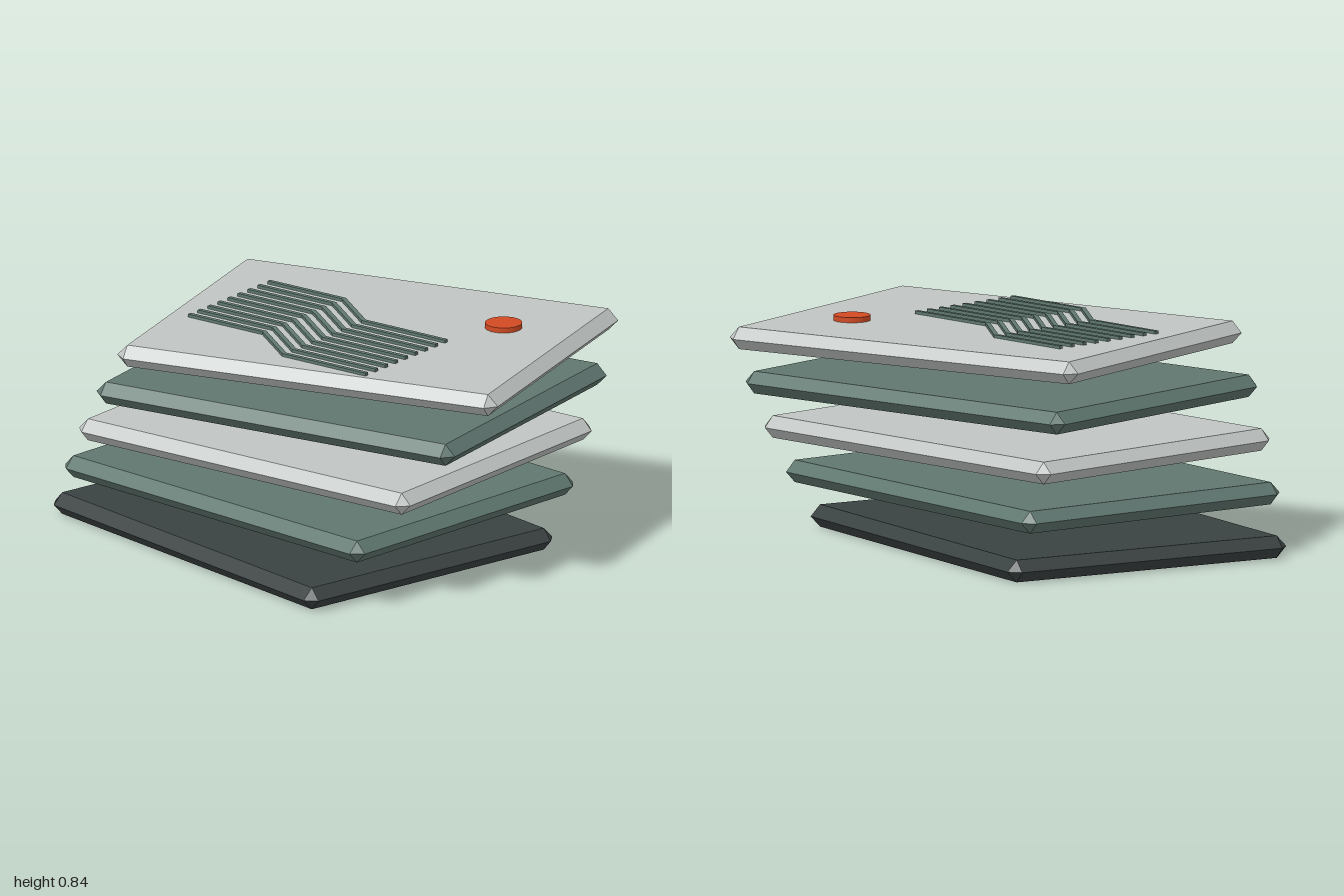
import * as THREE from 'three';
import { ConvexGeometry } from 'three/addons/geometries/ConvexGeometry.js';

const material = (name, color, flatShading = false) => {
  const m = new THREE.MeshStandardMaterial({ color, flatShading });
  m.name = name;
  return m;
};

// Slab whose edges are chamfered by half its thickness, leaving a sharp rim and cut corners
function slabGeometry(hx, hy, hz, bevel) {
  const points = [];
  for (const sx of [-1, 1]) for (const sz of [-1, 1]) {
    for (const y of [-hy, hy]) points.push(new THREE.Vector3(sx * (hx - bevel), y, sz * (hz - bevel)));
    points.push(new THREE.Vector3(sx * hx, 0, sz * (hz - bevel)));
    points.push(new THREE.Vector3(sx * (hx - bevel), 0, sz * hz));
  }
  return new ConvexGeometry(points);
}

// Thin stepped strip, drawn in plan and extruded upwards
function traceGeometry(path, halfWidth, height) {
  const slope = Math.atan2(path[2][1] - path[1][1], path[2][0] - path[1][0]);
  const miter = halfWidth * Math.tan(slope / 2);
  const side = (s) => path.map(([x, z], i) =>
    new THREE.Vector2(x - (i === 1 || i === 2 ? s * miter : 0), -(z + s * halfWidth)));
  const shape = new THREE.Shape([...side(1), ...side(-1).reverse()]);
  return new THREE.ExtrudeGeometry(shape, { depth: height, bevelEnabled: false }).rotateX(-Math.PI / 2);
}

export function createModel() {
  const model = new THREE.Group();
  model.name = 'layeredSlabs';
  const grey = material('paleGrey', 0xc0c5c3, true);
  const teal = material('greyTeal', 0x5f766f, true);
  const dark = material('charcoal', 0x3a4141, true);
  const orange = material('orange', 0xd14a22);

  // Five floating slabs, each turned and shifted a step further
  const slab = slabGeometry(0.782, 0.0425, 0.606, 0.041);
  [dark, teal, grey, teal, grey].forEach((mat, i) => {
    const step = i - 2;
    const mesh = new THREE.Mesh(slab, mat);
    mesh.name = `slab${i + 1}`;
    mesh.position.set(step * 0.053, 0.0435 + i * 0.1843, step * -0.031);
    mesh.rotation.y = THREE.MathUtils.degToRad(step * 6.75);
    model.add(mesh);
  });
  const top = 0.823;

  // Nine parallel stepped traces on the top slab
  const traces = new THREE.Group();
  traces.name = 'traces';
  const trace = traceGeometry([[-0.505, 0], [-0.15, 0], [0.067, 0.163], [0.457, 0.163]], 0.009, 0.012);
  for (let i = 0; i < 9; i++) {
    const mesh = new THREE.Mesh(trace, teal);
    mesh.name = `trace${i + 1}`;
    mesh.position.set(0, top, -0.251 + i * 0.062);
    traces.add(mesh);
  }
  model.add(traces);

  // Round marker on the top slab
  const button = new THREE.Mesh(new THREE.CylinderGeometry(0.07, 0.07, 0.02, 32), orange);
  button.name = 'roundMarker';
  button.position.set(0.518, top + 0.01, -0.365);
  model.add(button);

  return model;
}
